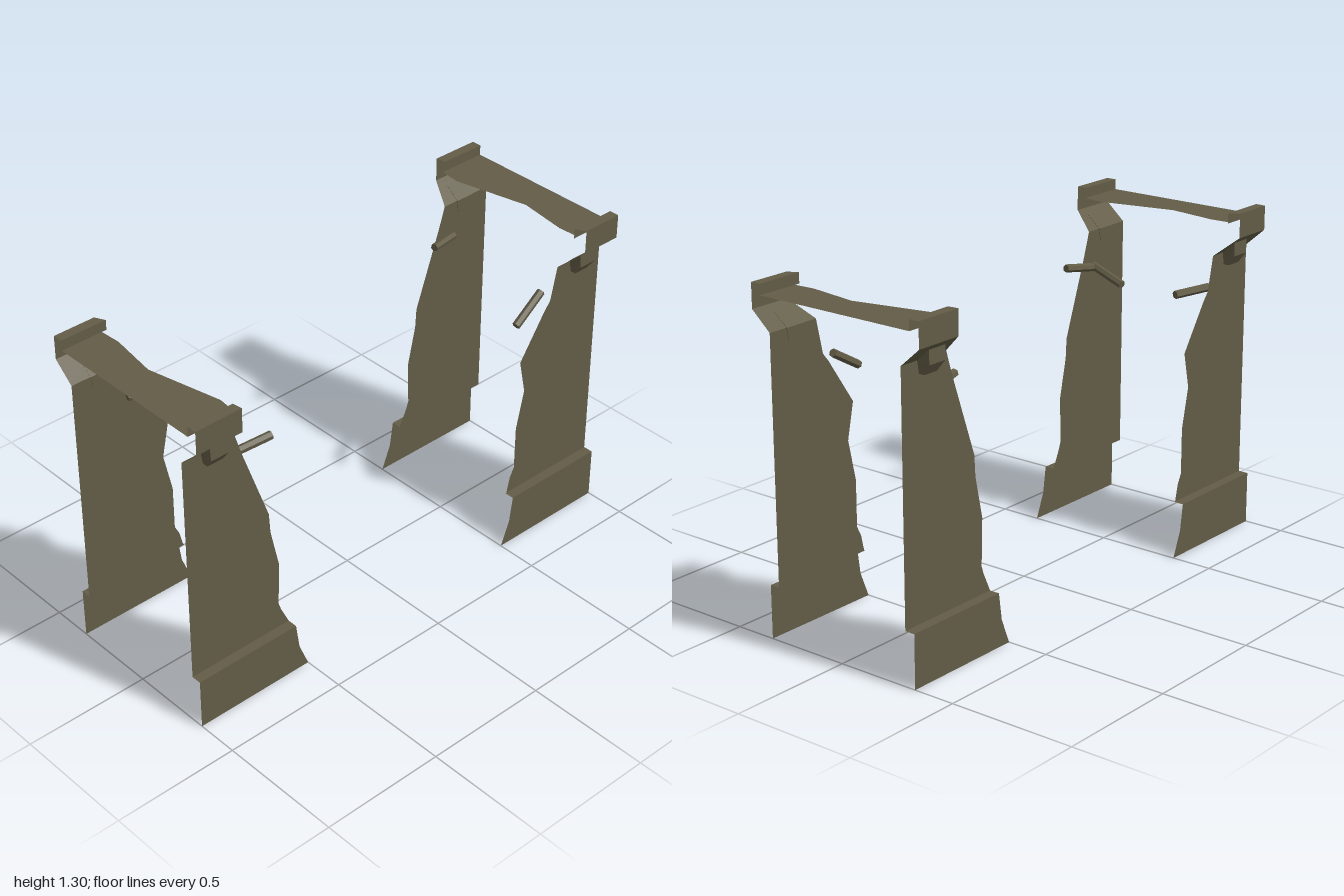
import * as THREE from 'three';

const stone = new THREE.MeshStandardMaterial({ color: 0x625c46, side: THREE.DoubleSide });
stone.name = 'olive stone';

// Thin shell: each [x, y, zBroken] spans from the clean end z = 1 to the broken edge
function shell(name, points, side = 1) {
  const pos = [];
  for (let i = 0; i < points.length - 1; i++) {
    const [x0, y0, z0] = points[i];
    const [x1, y1, z1] = points[i + 1];
    const a = [x0 * side, y0, 1], b = [x0 * side, y0, z0];
    const c = [x1 * side, y1, z1], d = [x1 * side, y1, 1];
    // outward winding on both mirrored sides
    if (side > 0) pos.push(...a, ...b, ...c, ...a, ...c, ...d);
    else pos.push(...a, ...c, ...b, ...a, ...d, ...c);
  }
  const geo = new THREE.BufferGeometry();
  geo.setAttribute('position', new THREE.Float32BufferAttribute(pos, 3));
  geo.computeVertexNormals();
  const mesh = new THREE.Mesh(geo, stone);
  mesh.name = name;
  return mesh;
}

// Broken edges of the two walls, [y, z] from bottom to top
const bulgedEdge = [[0.205, 0.56], [0.27, 0.575], [0.31, 0.595], [0.49, 0.595], [0.65, 0.63],
  [0.79, 0.6], [0.97, 0.72], [1.0, 0.745], [1.135, 0.775]];
const smoothEdge = [[0.205, 0.555], [0.28, 0.59], [0.31, 0.6], [0.49, 0.595], [0.65, 0.63],
  [0.73, 0.635], [1.04, 0.745], [1.135, 0.775]];

// One side: base, ledge, wall, flared corbel and curb
function sideParts(side, edge, curbZ) {
  const g = new THREE.Group();
  g.name = side > 0 ? 'leftSide' : 'rightSide';
  g.add(shell('base', [[0.335, 0, 0.5], [0.335, 0.1, 0.54], [0.335, 0.205, 0.555]], side));
  g.add(shell('ledge', [[0.335, 0.205, 0.555], [0.295, 0.205, 0.555]], side));
  g.add(shell('wall', edge.map(([y, z]) => [0.295, y, z]), side));
  g.add(shell('corbel', [[0.295, 1.135, 0.775], [0.375, 1.205, curbZ]], side));
  g.add(shell('curb', [[0.375, 1.205, curbZ], [0.375, 1.3, curbZ], [0.335, 1.3, 0.81],
    [0.335, 1.26, 0.81]], side));
  g.add(spout(side));
  return g;
}

// Drain spout tucked under the corbel, narrowing downwards
function spout(side) {
  const outline = [[0.293, 1.135], [0.293, 1.087], [0.318, 1.087], [0.348, 1.128], [0.348, 1.183]];
  const shape = new THREE.Shape(outline.map(([x, y]) => new THREE.Vector2(x * side, y)));
  const geo = new THREE.ExtrudeGeometry(shape, { depth: 0.084, bevelEnabled: false });
  geo.translate(0, 0, -0.042);
  const p = geo.attributes.position;
  for (let i = 0; i < p.count; i++) {
    if (p.getY(i) < 1.1) p.setZ(i, p.getZ(i) * 0.75);
    else if (p.getY(i) < 1.15) p.setZ(i, p.getZ(i) * 0.94);
  }
  geo.translate(0, 0, 0.88);
  geo.computeVertexNormals();
  const mesh = new THREE.Mesh(geo, stone);
  mesh.name = 'spout';
  return mesh;
}

// Reinforcing bar between two points
function bar(from, to) {
  const a = new THREE.Vector3(...from), b = new THREE.Vector3(...to);
  const dir = b.clone().sub(a);
  const geo = new THREE.CylinderGeometry(0.016, 0.016, dir.length(), 6).toNonIndexed();
  geo.computeVertexNormals();
  const mesh = new THREE.Mesh(geo, stone);
  mesh.position.copy(a).add(b).multiplyScalar(0.5);
  mesh.quaternion.setFromUnitVectors(new THREE.Vector3(0, 1, 0), dir.normalize());
  mesh.name = 'bar';
  return mesh;
}

// Broken end of the span: two sides and the deck between them
function spanEnd(name) {
  const g = new THREE.Group();
  g.name = name;
  g.add(sideParts(-1, bulgedEdge, 0.83));
  g.add(sideParts(1, smoothEdge, 0.805));
  g.add(shell('deck', [[0.335, 1.26, 0.8], [0.25, 1.26, 0.79], [-0.05, 1.26, 0.855],
    [-0.25, 1.26, 0.825], [-0.335, 1.26, 0.83]]));
  return g;
}

export function createModel() {
  const model = new THREE.Group();
  model.name = 'brokenSpan';
  const front = spanEnd('frontEnd');
  const back = spanEnd('backEnd');
  back.rotation.y = Math.PI;
  model.add(front, back);

  // Loose bars near the broken edges
  const bars = [
    [[0.08, 0.972, 0.705], [0.25, 1.017, 0.738]],
    [[0.235, 1.01, 0.74], [0.265, 1.03, 0.59]],
    [[-0.268, 1.005, 0.79], [-0.222, 1.0, 0.635]],
    [[0.243, 1.015, -0.75], [0.26, 0.935, -0.605]],
    [[-0.268, 1.01, -0.8], [-0.24, 1.02, -0.67]],
  ];
  for (const [from, to] of bars) model.add(bar(from, to));
  return model;
}
